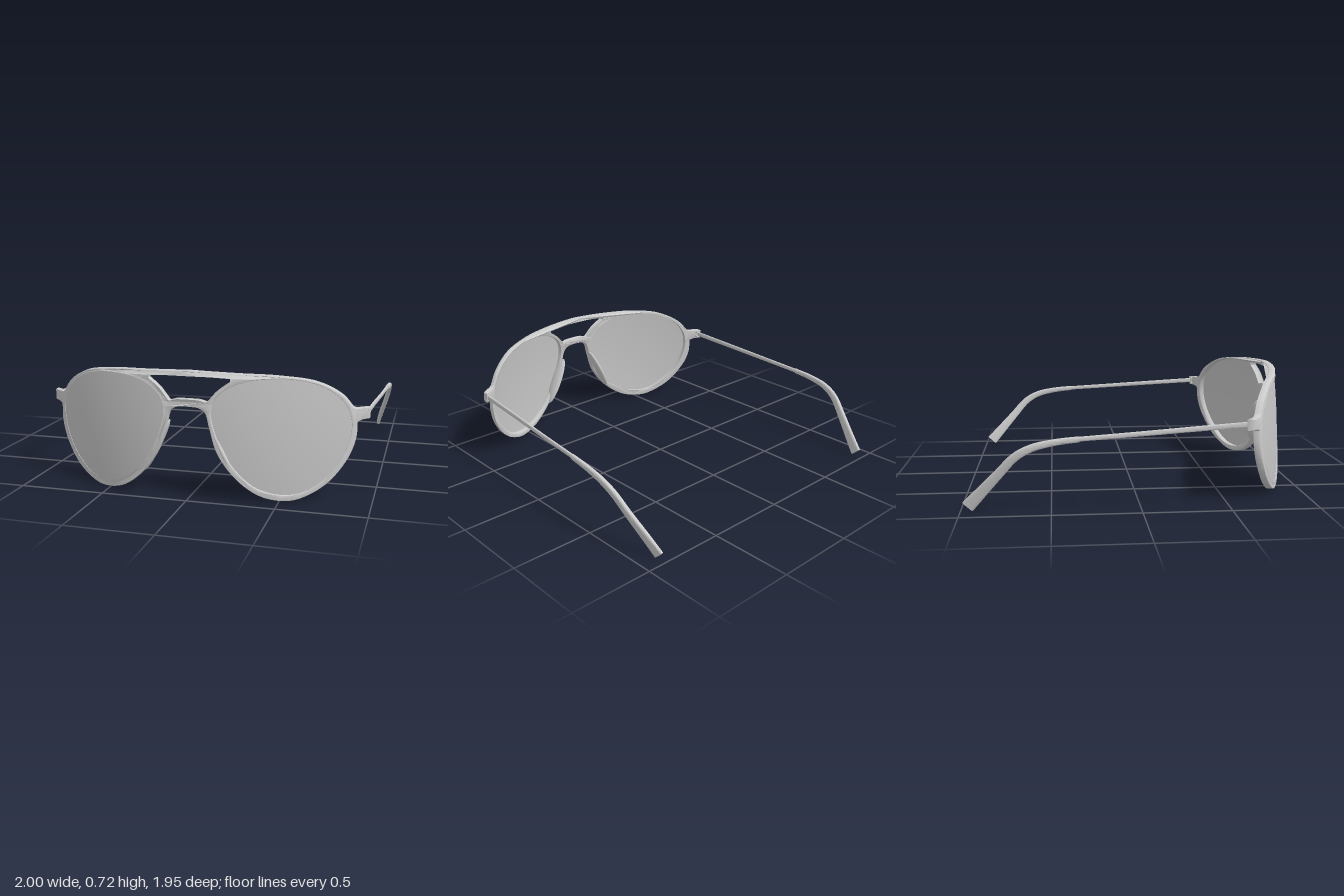
import * as THREE from 'three';
import { toCreasedNormals } from 'three/addons/utils/BufferGeometryUtils.js';

const frameMat = new THREE.MeshStandardMaterial({ color: 0xcccccc, side: THREE.DoubleSide });
frameMat.name = 'frame grey';
const lensMat = new THREE.MeshStandardMaterial({ color: 0xc6c6c6, side: THREE.DoubleSide });
lensMat.name = 'lens grey';

// Wrapped front surface shared by frame and lenses
const wrapZ = (x, y) => 0.98 - 0.38 * x * x - 0.12 * (y - 0.15) ** 2;

const v2 = (p) => new THREE.Vector2(p[0], p[1]);

// Smooth 2D curve through a few points
function smooth(pts, n, closed = false) {
  const c = new THREE.CatmullRomCurve3(pts.map((p) => new THREE.Vector3(p[0], p[1], 0)), closed);
  const out = c.getPoints(n).map((p) => [p.x, p.y]);
  if (closed) out.pop();
  return out;
}

// Half outline from x = 0 to x = 0, mirrored into a closed loop
const mirrorLoop = (half) =>
  [...half, ...half.slice(1, -1).reverse().map(([x, y]) => [-x, y])].map(v2);

function addMesh(parent, name, geo, mat) {
  const m = new THREE.Mesh(geo, mat);
  m.name = name;
  parent.add(m);
  return m;
}

const lensOutline = smooth([
  [0.487, 0.682], [0.33, 0.672], [0.225, 0.635], [0.155, 0.575], [0.133, 0.5], [0.15, 0.405],
  [0.2, 0.283], [0.28, 0.165], [0.385, 0.075], [0.53, 0.034], [0.645, 0.055], [0.76, 0.145],
  [0.84, 0.273], [0.866, 0.417], [0.83, 0.53], [0.73, 0.622], [0.61, 0.668],
], 96, true);

// Rims, brow bar, bridge and end pieces in one bent plate
function frameGeometry() {
  const outer = [
    ...smooth([[0, 0.722], [0.25, 0.712], [0.49, 0.697], [0.68, 0.66], [0.81, 0.583], [0.868, 0.51]], 50),
    [0.885, 0.502], [0.92, 0.503], [0.957, 0.502], [0.957, 0.44], [0.92, 0.437],
    ...smooth([[0.892, 0.425], [0.888, 0.33], [0.855, 0.23], [0.76, 0.1], [0.65, 0.027], [0.55, 0],
      [0.41, 0.027], [0.28, 0.12], [0.17, 0.27], [0.123, 0.42], [0.1, 0.495], [0.065, 0.52], [0, 0.526]], 100),
  ];
  outer[outer.length - 1][0] = 0;
  const gap = [
    ...smooth([[0, 0.697], [0.12, 0.696], [0.237, 0.69]], 16),
    ...smooth([[0.24, 0.667], [0.17, 0.617], [0.128, 0.57], [0.108, 0.55], [0.065, 0.559], [0, 0.561]], 36),
  ];
  const shape = new THREE.Shape(mirrorLoop(outer));
  shape.holes.push(new THREE.Path(mirrorLoop(gap)));
  for (const s of [1, -1]) shape.holes.push(new THREE.Path(lensOutline.map(([x, y]) => new THREE.Vector2(s * x, y))));
  const b = 0.005;
  const geo = new THREE.ExtrudeGeometry(shape, {
    depth: 0.032, steps: 1, bevelEnabled: true, bevelSize: b, bevelThickness: b, bevelOffset: -b, bevelSegments: 2,
  });
  const p = geo.attributes.position;
  for (let i = 0; i < p.count; i++) {
    p.setZ(i, p.getZ(i) - 0.037 + wrapZ(p.getX(i), p.getY(i)));
  }
  return toCreasedNormals(geo, 0.6);
}

// Curved lens sheet made of shrinking rings
function lensGeometry(s) {
  const loop = lensOutline.map(([x, y]) => [s * x, y]);
  if (s < 0) loop.reverse();
  const n = loop.length, rings = 10, cx = s * 0.5, cy = 0.38;
  const pos = [], idx = [];
  for (let r = 0; r <= rings; r++) {
    const k = (r / rings) * 1.008;
    for (const [px, py] of loop) {
      const x = cx + (px - cx) * k, y = cy + (py - cy) * k;
      pos.push(x, y, wrapZ(x, y) - 0.01);
    }
  }
  for (let r = 0; r < rings; r++) {
    for (let j = 0; j < n; j++) {
      const a = r * n + j, b = r * n + (j + 1) % n;
      if (r > 0) idx.push(a, b + n, b);
      idx.push(a, a + n, b + n);
    }
  }
  const geo = new THREE.BufferGeometry();
  geo.setAttribute('position', new THREE.Float32BufferAttribute(pos, 3));
  geo.setIndex(idx);
  geo.computeVertexNormals();
  return geo;
}

// Rounded-rectangle loft along stations of [x, y, z, halfWidth, halfHeight]
function loft(stations, s, steps) {
  const path = new THREE.CatmullRomCurve3(stations.map((p) => new THREE.Vector3(s * p[0], p[1], p[2])));
  const size = new THREE.CatmullRomCurve3(stations.map((p) => new THREE.Vector3(p[3], p[4], 0)));
  const n = 20, pos = [], idx = [], X = new THREE.Vector3(1, 0, 0);
  const round = (v) => Math.sign(v) * Math.abs(v) ** 0.6;
  for (let i = 0; i <= steps; i++) {
    const c = path.getPoint(i / steps), t = path.getTangent(i / steps), d = size.getPoint(i / steps);
    const up = X.clone().cross(t).normalize(), side = t.clone().cross(up);
    for (let j = 0; j < n; j++) {
      const a = (j / n) * Math.PI * 2;
      const q = c.clone().addScaledVector(side, d.x * round(Math.cos(a))).addScaledVector(up, d.y * round(Math.sin(a)));
      pos.push(q.x, q.y, q.z);
    }
  }
  for (let i = 0; i < steps; i++) {
    for (let j = 0; j < n; j++) {
      const a = i * n + j, b = i * n + (j + 1) % n;
      idx.push(a, a + n, b, b, a + n, b + n);
    }
  }
  // End caps
  const e = steps * n;
  for (let j = 1; j < n - 1; j++) idx.push(0, j, j + 1, e, e + j + 1, e + j);
  const geo = new THREE.BufferGeometry();
  geo.setAttribute('position', new THREE.Float32BufferAttribute(pos, 3));
  geo.setIndex(idx);
  return toCreasedNormals(geo, 0.8);
}

export function createModel() {
  const model = new THREE.Group();
  model.name = 'sunglasses';
  addMesh(model, 'frontFrame', frameGeometry(), frameMat);

  for (const s of [1, -1]) {
    const side = s > 0 ? 'left' : 'right';
    addMesh(model, side + 'Lens', lensGeometry(s), lensMat);

    // Nose pad swelling behind the inner rim
    const pad = addMesh(model, side + 'NosePad', new THREE.SphereGeometry(1, 24, 16), frameMat);
    pad.scale.set(0.02, 0.17, 0.05);
    pad.position.set(s * 0.192, 0.285, 0.915);
    pad.rotation.z = s * 0.46;

    // Hinge: two leaves around a middle knuckle
    for (const y of [0.453, 0.489]) {
      const leaf = addMesh(model, side + 'HingeLeaf', new THREE.BoxGeometry(0.026, 0.012, 0.04), frameMat);
      leaf.position.set(s * 0.937, y, 0.605);
    }
    const knuckle = addMesh(model, side + 'HingeKnuckle', new THREE.CylinderGeometry(0.009, 0.009, 0.05, 16), frameMat);
    knuckle.position.set(s * 0.943, 0.471, 0.592);

    // Slim temple arm
    addMesh(model, side + 'Temple', loft([
      [0.943, 0.473, 0.61, 0.007, 0.016], [0.955, 0.455, 0.3, 0.007, 0.015],
      [0.97, 0.435, -0.02, 0.007, 0.014], [0.983, 0.414, -0.37, 0.008, 0.013],
    ], s, 24), frameMat);

    // Ear tip: bends down and inward, widening to the end
    addMesh(model, side + 'EarTip', loft([
      [0.983, 0.415, -0.345, 0.011, 0.016], [0.987, 0.4, -0.48, 0.012, 0.018],
      [0.986, 0.372, -0.6, 0.013, 0.021], [0.975, 0.322, -0.69, 0.014, 0.024],
      [0.948, 0.22, -0.785, 0.014, 0.027], [0.915, 0.11, -0.885, 0.013, 0.033],
      [0.893, 0.03, -0.958, 0.011, 0.038],
    ], s, 42), frameMat);
  }
  return model;
}
